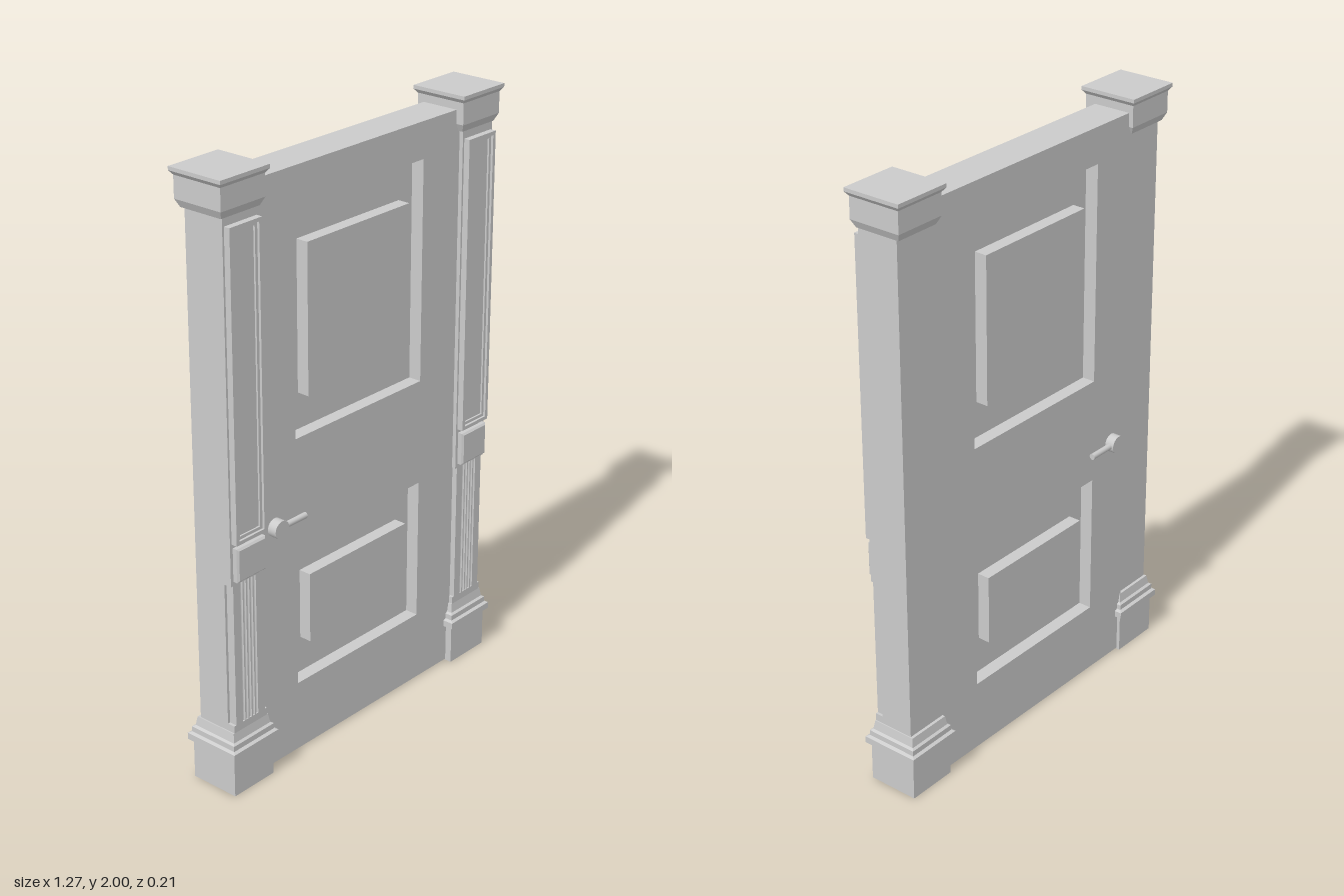
import * as THREE from 'three';

const flat = new THREE.MeshStandardMaterial({ color: 0xcccccc, flatShading: true });
const smooth = new THREE.MeshStandardMaterial({ color: 0xcccccc });

function add(parent, name, geometry, x = 0, y = 0, z = 0, material = flat) {
  const mesh = new THREE.Mesh(geometry, material);
  mesh.name = name;
  mesh.position.set(x, y, z);
  parent.add(mesh);
  return mesh;
}

const polygon = (pts) => new THREE.Shape(pts.map(([x, y]) => new THREE.Vector2(x, y)));
const rect = (x0, y0, x1, y1) => polygon([[x0, y0], [x1, y0], [x1, y1], [x0, y1]]);
const extrude = (shape, depth) =>
  new THREE.ExtrudeGeometry(shape, { depth, bevelEnabled: false, curveSegments: 8 });

// Square moulding turned from a [half width, height] profile
function squareMoulding(profile) {
  const pts = profile.map(([r, y]) => new THREE.Vector2(r * Math.SQRT2, y));
  return new THREE.LatheGeometry(pts, 4).rotateY(Math.PI / 4);
}

// Rectangular ring facing +z
function frame(w, y0, y1, border, depth) {
  const shape = rect(-w, y0, w, y1);
  shape.holes.push(rect(-w + border, y0 + border, w - border, y1 - border));
  return extrude(shape, depth);
}

function createPost(name) {
  const post = new THREE.Group();
  post.name = name;

  // Shaft, set back behind the fluted lower section
  const shaft = extrude(polygon([
    [-0.067, 0.1], [0.077, 0.1], [0.077, 0.243], [0.05, 0.243],
    [0.05, 0.727], [0.077, 0.727], [0.077, 1.9], [-0.067, 1.9],
  ]), 0.146).translate(0, 0, -0.073).rotateY(-Math.PI / 2);
  add(post, 'shaft', shaft);

  add(post, 'base', squareMoulding([
    [0, 0], [0.087, 0], [0.087, 0.135], [0.1, 0.138], [0.1, 0.16], [0.09, 0.165],
    [0.09, 0.183], [0.082, 0.188], [0.077, 0.218], [0, 0.218],
  ]));
  add(post, 'capital', squareMoulding([
    [0, 1.88], [0.078, 1.88], [0.09, 1.905], [0.09, 1.975], [0.1, 1.988], [0.1, 2], [0, 2],
  ]));

  // Upper framed panel
  add(post, 'upperPanelFrame', frame(0.066, 0.868, 1.855, 0.012, 0.022), 0, 0, 0.076);
  add(post, 'upperPanelStep', frame(0.054, 0.88, 1.843, 0.01, 0.014), 0, 0, 0.076);
  add(post, 'upperPanelField', new THREE.BoxGeometry(0.088, 0.943, 0.01), 0, 1.3615, 0.079);

  // Middle block with a chamfered face
  const block = new THREE.ExtrudeGeometry(rect(-0.056, 0.748, 0.056, 0.848), {
    depth: 0.02, bevelSize: 0.006, bevelThickness: 0.006, bevelSegments: 1,
  });
  add(post, 'middleBlock', block, 0, 0, 0.072);

  // Fluted panel: half-round grooves cut in the front edge of its plan
  const plan = new THREE.Shape();
  plan.moveTo(0.064, -0.045);
  plan.lineTo(-0.064, -0.045);
  plan.lineTo(-0.064, -0.077);
  for (let i = -2; i <= 2; i++) {
    const x = i * 0.0145;
    plan.lineTo(x - 0.005, -0.077);
    plan.absarc(x, -0.077, 0.005, Math.PI, 0, true);
  }
  plan.lineTo(0.064, -0.077);
  plan.closePath();
  add(post, 'flutedPanel', extrude(plan, 0.484).rotateX(-Math.PI / 2), 0, 0.243, 0);
  return post;
}

function createDoor() {
  const door = new THREE.Group();
  door.name = 'door';
  const thick = 0.13;
  const panels = [
    { y0: 1.095, y1: 1.83, in0: 1.215, in1: 1.705 },
    { y0: 0.245, y1: 0.735, in0: 0.37, in1: 0.61 },
  ];

  // Leaf with two openings, each closed by a thin panel with a raised field
  const leaf = rect(-0.465, 0.004, 0.465, 1.95);
  for (const p of panels) leaf.holes.push(rect(-0.294, p.y0, 0.29, p.y1));
  add(door, 'leaf', extrude(leaf, thick), 0, 0, -thick / 2);
  for (const p of panels) {
    add(door, 'recessedPanel', new THREE.BoxGeometry(0.59, p.y1 - p.y0, 0.04), -0.003, (p.y0 + p.y1) / 2, 0);
    add(door, 'raisedField', new THREE.BoxGeometry(0.46, p.in1 - p.in0, thick - 0.004), -0.003, (p.in0 + p.in1) / 2, 0);
  }

  // Lever handle on both faces
  for (const side of [1, -1]) {
    const handle = new THREE.Group();
    handle.name = side > 0 ? 'frontHandle' : 'backHandle';
    add(handle, 'rose', new THREE.CylinderGeometry(0.03, 0.03, 0.034, 24).rotateX(Math.PI / 2), 0, 0, side * 0.015, smooth);
    add(handle, 'lever', new THREE.CylinderGeometry(0.01, 0.01, 0.12, 16).rotateZ(Math.PI / 2), 0.06, 0, side * 0.016, smooth);
    handle.position.set(-0.39, 0.837, side * thick / 2);
    door.add(handle);
  }

  // The leaf stands very slightly ajar
  door.position.z = -0.006;
  door.rotation.y = -0.01;
  return door;
}

export function createModel() {
  const model = new THREE.Group();
  model.name = 'panelledDoorWithPosts';
  model.add(createDoor());
  for (const side of [1, -1]) {
    const post = createPost(side > 0 ? 'leftPost' : 'rightPost');
    post.position.x = side * 0.535;
    model.add(post);
  }
  return model;
}
